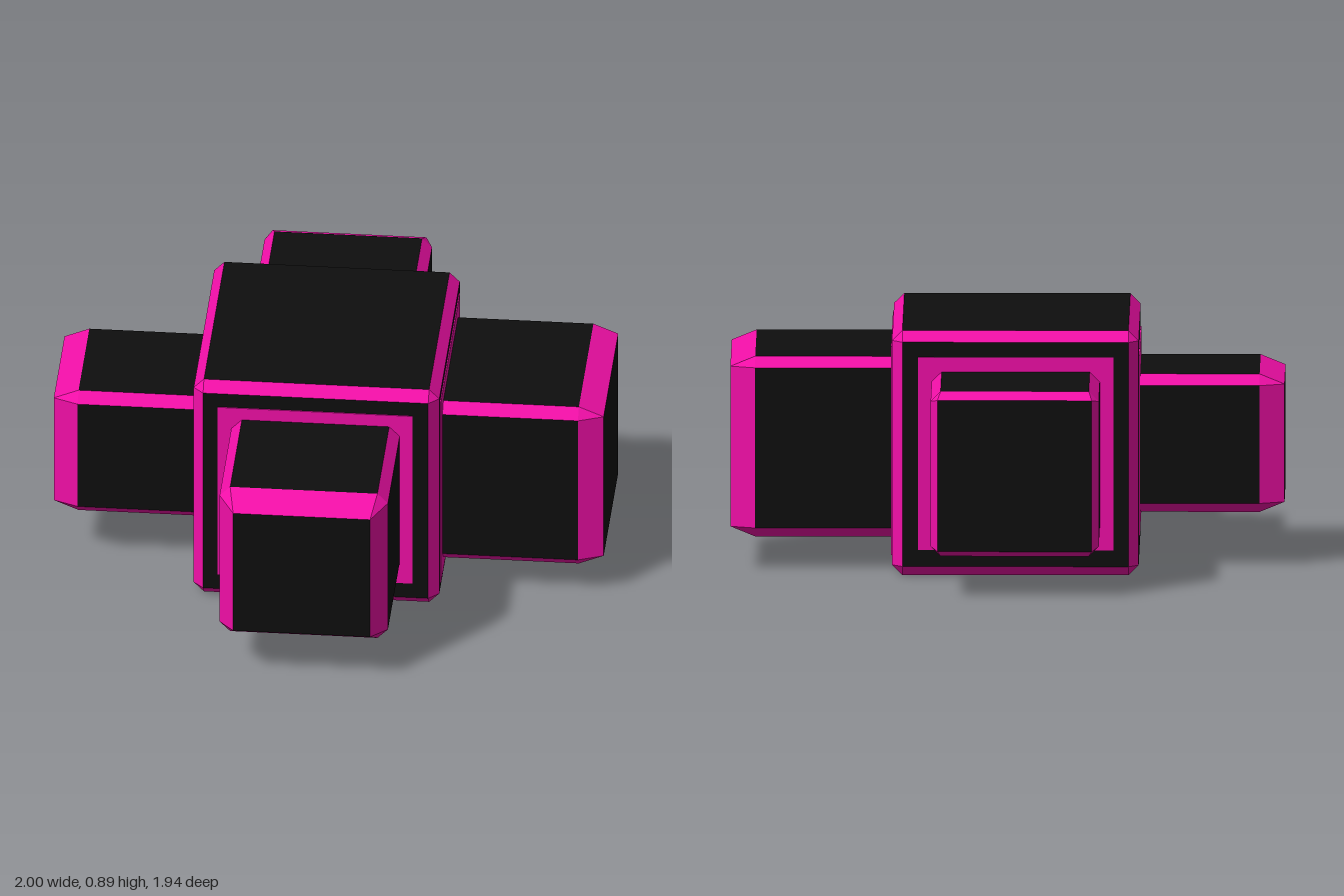
import * as THREE from 'three';

const black = new THREE.MeshStandardMaterial({ color: 0x0e0e0e });
const pink = new THREE.MeshStandardMaterial({ color: 0xf20fa8 });

// Flat-shaded geometry from convex polygons, each turned to face away from the centre
function polygons(polys, center) {
  const pos = [];
  for (const p of polys) {
    const n = p[1].clone().sub(p[0]).cross(p[2].clone().sub(p[0]));
    const q = n.dot(p[0].clone().sub(center)) < 0 ? [...p].reverse() : p;
    for (let i = 1; i < q.length - 1; i++) {
      for (const v of [q[0], q[i], q[i + 1]]) pos.push(v.x, v.y, v.z);
    }
  }
  const g = new THREE.BufferGeometry();
  g.setAttribute('position', new THREE.Float32BufferAttribute(pos, 3));
  g.computeVertexNormals();
  return g;
}

// Box with black faces and pink bevels. Along the given axis the ends have
// their own bevel: depth along the axis and inset of the end face.
function bevelledBox(name, min, max, bevel, axis = 0, depth = bevel, inset = bevel) {
  const cut = (face, k) => (face === axis ? inset : k === axis ? depth : bevel);
  const corner = (s, face) => new THREE.Vector3(...[0, 1, 2].map((k) =>
    (s[k] > 0 ? max[k] : min[k]) - (k === face ? 0 : s[k] * cut(face, k))));
  const faces = [], bevels = [];
  for (let f = 0; f < 3; f++) {
    const g = (f + 1) % 3, h = (f + 2) % 3;
    const signs = (a, b, c) => { const s = []; s[f] = a; s[g] = b; s[h] = c; return s; };
    for (const a of [-1, 1]) {
      faces.push([[-1, -1], [1, -1], [1, 1], [-1, 1]].map(([b, c]) => corner(signs(a, b, c), f)));
      for (const b of [-1, 1]) {
        const lo = signs(a, b, -1), hi = signs(a, b, 1);
        bevels.push([corner(lo, f), corner(hi, f), corner(hi, g), corner(lo, g)]);
      }
    }
  }
  for (const x of [-1, 1]) for (const y of [-1, 1]) for (const z of [-1, 1]) {
    bevels.push([0, 1, 2].map((f) => corner([x, y, z], f)));
  }
  const center = new THREE.Vector3(...min).add(new THREE.Vector3(...max)).multiplyScalar(0.5);
  const group = new THREE.Group();
  group.name = name;
  const body = new THREE.Mesh(polygons(faces, center), black);
  body.name = name + 'Faces';
  const trim = new THREE.Mesh(polygons(bevels, center), pink);
  trim.name = name + 'Bevels';
  group.add(body, trim);
  return group;
}

// Thin pink plate, barely proud of the core
function plate(name, min, max) {
  const mesh = new THREE.Mesh(new THREE.BoxGeometry(...max.map((v, i) => v - min[i])), pink);
  mesh.position.set(...max.map((v, i) => (v + min[i]) / 2));
  mesh.name = name;
  return mesh;
}

export function createModel() {
  const model = new THREE.Group();
  model.name = 'blockCross';

  // Central block
  model.add(bevelledBox('core', [-0.475, 0, -0.49], [0.415, 0.895, 0.405], 0.037));

  // Four arms, their roots sunk into the core
  model.add(
    bevelledBox('leftArm', [0.3, 0.12, -0.37], [1, 0.78, 0.287], 0.037, 0, 0.09, 0.037),
    bevelledBox('rightArm', [-1, 0.2, -0.295], [-0.36, 0.705, 0.21], 0.037, 0, 0.09, 0.037),
    bevelledBox('frontArm', [-0.335, 0.147, 0.29], [0.275, 0.755, 0.968], 0.038, 2, 0.09, 0.057),
    bevelledBox('backArm', [-0.335, 0.147, -0.97], [0.272, 0.75, -0.38], 0.036, 2, 0.05, 0.025),
  );

  // Border plates around the arm roots
  model.add(
    plate('leftPlate', [0.38, 0.067, -0.422], [0.419, 0.83, 0.342]),
    plate('rightPlate', [-0.479, 0.13, -0.362], [-0.44, 0.79, 0.277]),
    plate('frontPlate', [-0.385, 0.098, 0.37], [0.322, 0.803, 0.409]),
    plate('backPlate', [-0.385, 0.098, -0.494], [0.322, 0.803, -0.45]),
  );
  return model;
}
